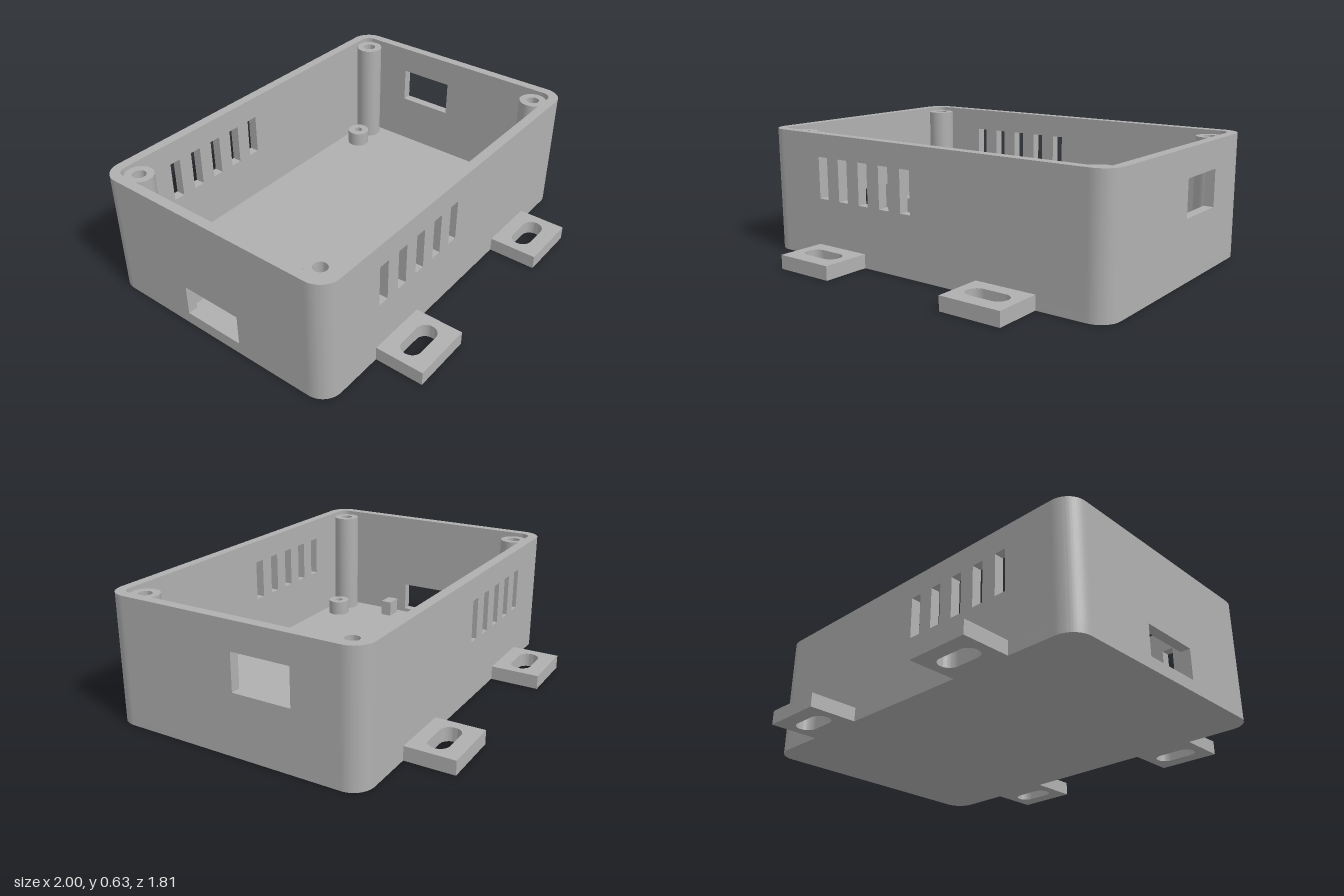
import * as THREE from 'three';
import { toCreasedNormals } from 'three/addons/utils/BufferGeometryUtils.js';

const W = 1, D = 0.66, H = 0.63, WALL = 0.05, FLOOR = 0.04, R = 0.1;

export function createModel() {
  const root = new THREE.Group();
  const grey = new THREE.MeshStandardMaterial({ color: 0xb0b0b0 });
  grey.name = 'grey plastic';

  const add = (name, geometry, x = 0, y = 0, z = 0) => {
    const mesh = new THREE.Mesh(geometry, grey);
    mesh.name = name;
    mesh.position.set(x, y, z);
    root.add(mesh);
    return mesh;
  };
  const extrude = (shape, depth) => toCreasedNormals(
    new THREE.ExtrudeGeometry(shape, { depth, bevelEnabled: false, curveSegments: 16 }), 0.6);
  // Plan shapes use x and -z, and rise along y
  const rise = (shape, height) => extrude(shape, height).rotateX(-Math.PI / 2);

  const rect = (x0, y0, x1, y1, Type = THREE.Shape) => {
    const s = new Type();
    s.moveTo(x0, y0);
    s.lineTo(x1, y0);
    s.lineTo(x1, y1);
    s.lineTo(x0, y1);
    s.closePath();
    return s;
  };
  const hole = (...r) => rect(...r, THREE.Path);

  // Floor with rounded corners
  const plan = new THREE.Shape();
  plan.absarc(W - R, D - R, R, 0, Math.PI / 2);
  plan.absarc(R - W, D - R, R, Math.PI / 2, Math.PI);
  plan.absarc(R - W, R - D, R, Math.PI, Math.PI * 1.5);
  plan.absarc(W - R, R - D, R, Math.PI * 1.5, Math.PI * 2);
  plan.closePath();
  add('floor', rise(plan, FLOOR));

  // Straight walls with their openings
  const wall = (half, holes) => {
    const s = rect(-half, FLOOR, half, H);
    s.holes.push(...holes);
    return extrude(s, WALL);
  };
  const vents = [];
  for (let i = 0; i < 5; i++) {
    const x = -0.61 + i * 0.135;
    vents.push(hole(x - 0.03, 0.305, x + 0.03, 0.515));
  }
  add('frontWall', wall(W - R, vents), 0, 0, D - WALL);
  add('backWall', wall(W - R, vents), 0, 0, -D);
  const leftWall = wall(D - R, [hole(0.03, 0.305, 0.325, 0.49)]);
  add('leftWall', leftWall.rotateY(Math.PI / 2), W - WALL);
  const rightWall = wall(D - R, [hole(-0.16, 0.06, 0.16, 0.215)]);
  add('rightWall', rightWall.rotateY(Math.PI / 2), -W);

  // Rounded wall corners
  const quarter = new THREE.Shape();
  quarter.absarc(0, 0, R, 0, Math.PI / 2);
  quarter.absarc(0, 0, R - WALL, Math.PI / 2, 0, true);
  quarter.closePath();
  const cornerGeometry = rise(quarter, H - FLOOR);
  [[1, -1], [-1, -1], [-1, 1], [1, 1]].forEach(([sx, sz], i) => {
    add('wallCorner', cornerGeometry, sx * (W - R), FLOOR, sz * (D - R)).rotation.y = i * Math.PI / 2;
  });

  // Hollow round posts
  const post = (radius, bore, height) => {
    const s = new THREE.Shape();
    s.absarc(0, 0, radius, 0, Math.PI * 2);
    const b = new THREE.Path();
    b.absarc(0, 0, bore, 0, Math.PI * 2);
    s.holes.push(b);
    return rise(s, height);
  };
  const pillar = post(0.07, 0.033, 0.61 - FLOOR);
  const standoff = post(0.06, 0.022, 0.12 - FLOOR);

  // Mounting tab with a rounded slot
  const tabShape = rect(-0.1575, -0.125, 0.1575, 0.125);
  const slot = new THREE.Path();
  slot.absarc(0.0575, 0, 0.05, -Math.PI / 2, Math.PI / 2);
  slot.absarc(-0.0575, 0, 0.05, Math.PI / 2, Math.PI * 1.5);
  slot.closePath();
  tabShape.holes.push(slot);
  const tab = rise(tabShape, 0.07);

  for (const sz of [-1, 1]) {
    for (const sx of [-1, 1]) {
      add('screwPillar', pillar, sx * 0.877, FLOOR, sz * 0.54);
      add('boardStandoff', standoff, sx * 0.735, FLOOR, sz * 0.51);
      add('mountingTab', tab, sx * 0.4975, 0, sz * 0.78);
    }
    // Small support blocks beside the low opening
    add('supportBlock', new THREE.BoxGeometry(0.09, 0.085, 0.06), -0.875, FLOOR + 0.0425, sz * 0.23);
  }
  return root;
}
